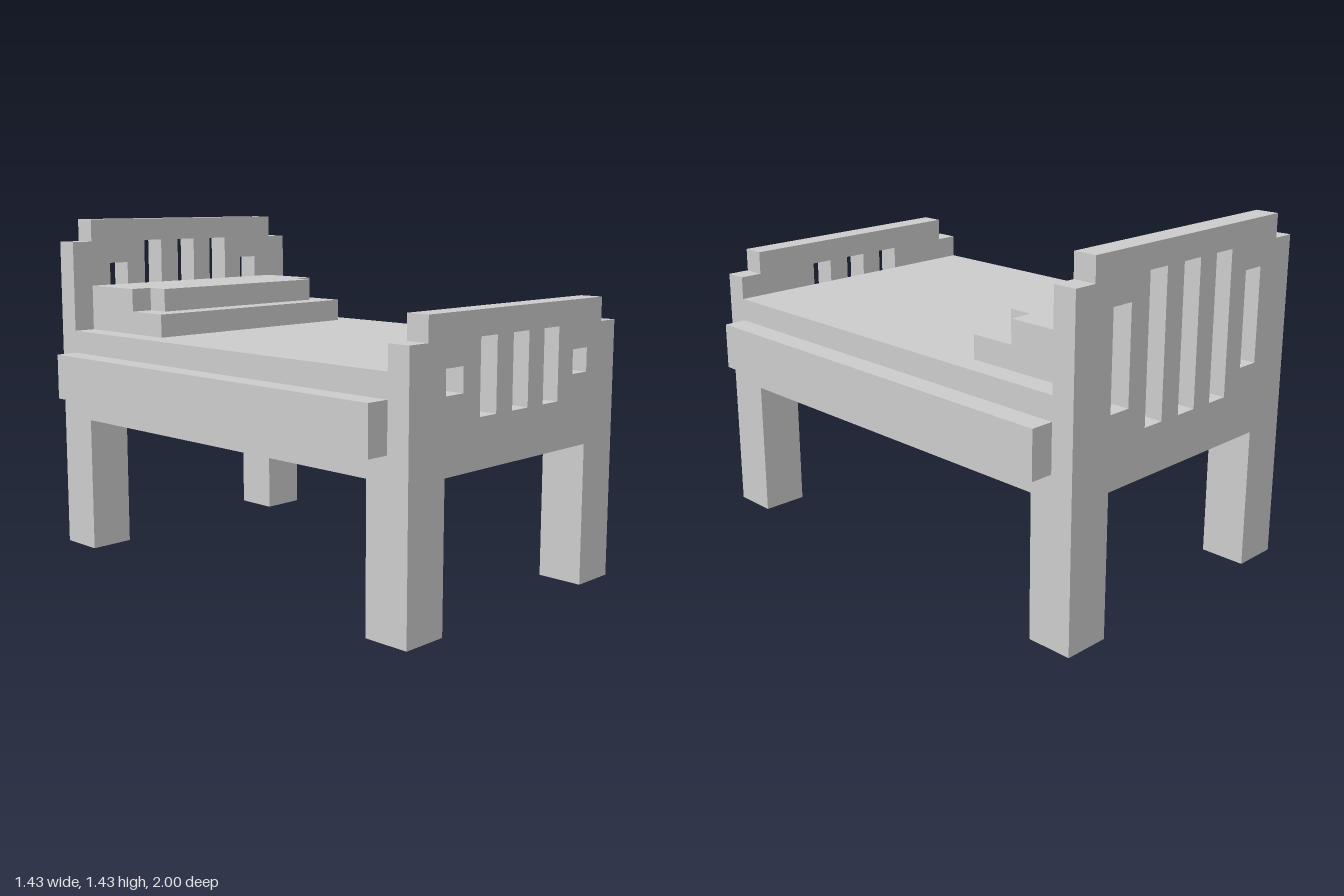
import * as THREE from 'three';

// One block of the design grid; all sizes below are in blocks.
const U = 2 / 21;
const material = new THREE.MeshStandardMaterial({ color: 0xcccccc, flatShading: true });

function addMesh(parent, name, geometry) {
  const mesh = new THREE.Mesh(geometry, material);
  mesh.name = name;
  parent.add(mesh);
  return mesh;
}

// Box given by its lower and upper corner
function addBox(parent, name, [x0, y0, z0], [x1, y1, z1]) {
  const mesh = addMesh(parent, name, new THREE.BoxGeometry(x1 - x0, y1 - y0, z1 - z0));
  mesh.position.set((x0 + x1) / 2, (y0 + y1) / 2, (z0 + z1) / 2);
}

function polygon(points, Type = THREE.Shape) {
  return new Type(points.map(([x, y]) => new THREE.Vector2(x, y)));
}

// End board with notched top corners; each slot is [centre x, bottom, top]
function addBoard(parent, name, top, z, slots) {
  const shape = polygon([
    [-6.5, 6], [6.5, 6], [6.5, top - 1], [5.5, top - 1],
    [5.5, top], [-5.5, top], [-5.5, top - 1], [-6.5, top - 1],
  ]);
  for (const [x, y0, y1] of slots) {
    shape.holes.push(polygon(
      [[x - 0.5, y0], [x - 0.5, y1], [x + 0.5, y1], [x + 0.5, y0]], THREE.Path));
  }
  const geometry = new THREE.ExtrudeGeometry(shape, { depth: 1, bevelEnabled: false });
  addMesh(parent, name, geometry).position.z = z;
}

export function createModel() {
  const bed = new THREE.Group();
  bed.name = 'bed';

  addBox(bed, 'mattress', [-6.5, 6, -9.5], [6.5, 10, 9.5]);

  // Slotted end boards: three tall slots between two short ones
  const slots = (tall, short) => [
    ...[-2, 0, 2].map((x) => [x, ...tall]),
    ...[-4, 4].map((x) => [x, ...short]),
  ];
  addBoard(bed, 'headboard', 15, -10.5, slots([8, 14], [9, 13]));
  addBoard(bed, 'footboard', 12, 9.5, slots([8, 11], [9, 10]));

  // Legs and side rails, mirrored left and right
  for (const [side, sx] of [['right', -5.5], ['left', 5.5]]) {
    for (const [end, z] of [['back', -9.5], ['front', 9.5]]) {
      addBox(bed, `${end} ${side} leg`, [sx - 1, 0, z - 1], [sx + 1, 6, z + 1]);
    }
    const rail = Math.sign(sx) * 7;
    addBox(bed, `${side} side rail`, [rail - 0.5, 7, -9.5], [rail + 0.5, 9, 9.5]);
  }

  // Pillow: flat base and a top layer with its two front corners cut out
  addBox(bed, 'pillow base', [-5.5, 10, -9.5], [5.5, 11, -4.5]);
  const outline = polygon([
    [-5.5, 6.5], [-4.5, 6.5], [-4.5, 5.5], [4.5, 5.5],
    [4.5, 6.5], [5.5, 6.5], [5.5, 9.5], [-5.5, 9.5],
  ]);
  const layer = new THREE.ExtrudeGeometry(outline, { depth: 1, bevelEnabled: false });
  layer.rotateX(-Math.PI / 2);
  addMesh(bed, 'pillow top', layer).position.y = 11;

  bed.scale.setScalar(U);
  const model = new THREE.Group();
  model.name = 'bedModel';
  model.add(bed);
  return model;
}
